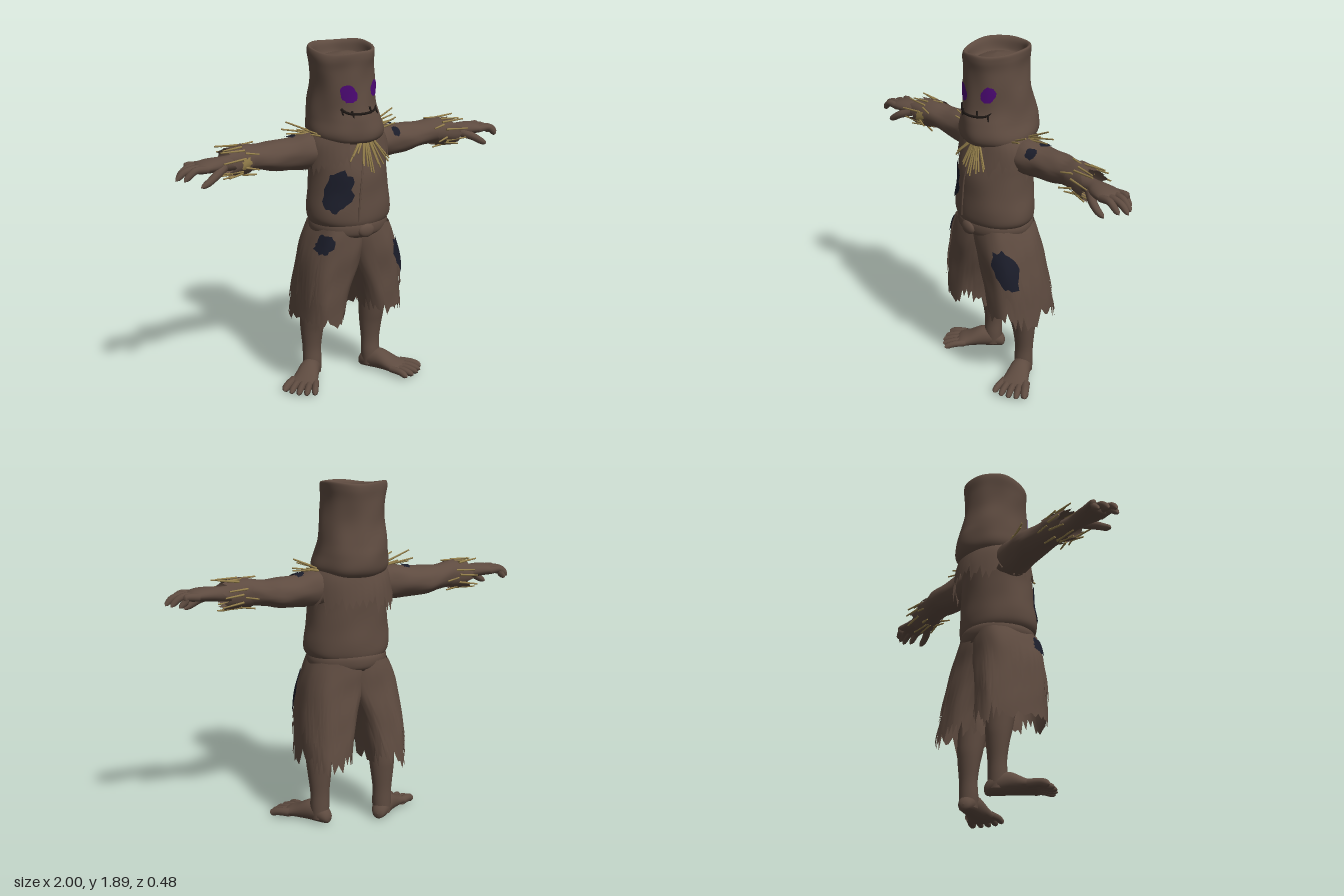
import * as THREE from 'three';
import { mergeGeometries } from 'three/addons/utils/BufferGeometryUtils.js';

const paint = (name, color, side = THREE.FrontSide) => {
  const m = new THREE.MeshStandardMaterial({ color, side });
  m.name = name;
  return m;
};
const V = (x, y, z) => new THREE.Vector3(x, y, z);
const rnd = (i, seed) => { const f = Math.sin(i * 12.9898 + seed * 78.233) * 43758.5453; return f - Math.floor(f); };
const TAU = Math.PI * 2;

// Smooth surface through sections [t, c1, c2, r1, r2] along the y or x axis; power < 1 makes them boxier
function surface(sections, { axis = 'y', fold = 0, power = 1, warp } = {}) {
  const last = sections.length - 1;
  const bend = (v) => Math.sign(v) * Math.abs(v) ** power;
  const point = (u, s, out = 0) => {
    const k = Math.min(Math.floor(Math.max(s, 0)), last - 1), f = Math.max(s, 0) - k;
    const row = (i) => sections[Math.max(0, Math.min(last, i))];
    const [t, c1, c2, r1, r2] = row(k).map((b, i) => {
      const a = row(k - 1)[i], c = row(k + 1)[i], d = row(k + 2)[i];
      return b + 0.5 * f * (c - a + f * (2 * a - 5 * b + 4 * c - d + f * (3 * (b - c) + d - a)));
    });
    const w = 1 + fold * (Math.sin(3 * u + 17 * t) + 0.7 * Math.sin(5 * u - 31 * t) + 0.5 * Math.sin(8 * u + 9 * t));
    const a = Math.max(0, r1) * w + out, b = Math.max(0, r2) * w + out, sn = bend(Math.sin(u)), cs = bend(Math.cos(u));
    const p = axis === 'y' ? V(c1 + a * sn, t, c2 + b * cs) : V(t, c1 + a * cs, c2 + b * sn);
    return warp ? warp(p) : p;
  };
  const at = (t) => {
    for (let k = 0; k < last; k++) {
      const a = sections[k][0], b = sections[k + 1][0];
      if ((t - a) * (t - b) <= 0) return k + (t - a) / (b - a);
    }
    return t < sections[0][0] ? 0 : last;
  };
  return { point, at, last };
}

// Grid of points fn(i, j); the columns join up when closed
function grid(fn, nu, nv, closed) {
  const cols = closed ? nu : nu + 1, pos = [], index = [];
  for (let j = 0; j <= nv; j++) for (let i = 0; i < cols; i++) pos.push(...fn(i, j).toArray());
  for (let j = 0; j < nv; j++) for (let i = 0; i < nu; i++) {
    const a = j * cols + i, b = j * cols + (i + 1) % cols;
    index.push(a, b, a + cols, b, b + cols, a + cols);
  }
  const g = new THREE.BufferGeometry();
  g.setAttribute('position', new THREE.Float32BufferAttribute(pos, 3));
  g.setIndex(index);
  g.computeVertexNormals();
  return g;
}

// Skin of a surface; lo(u, i) and hi(u, i) give torn edges as positions along the axis
function skin(S, { nu = 48, nv = 30, u0 = 0, u1 = TAU, lo, hi, out = 0 } = {}) {
  return grid((i, j) => {
    const u = u0 + (u1 - u0) * i / nu;
    const a = lo ? S.at(lo(u, i)) : 0, b = hi ? S.at(hi(u, i)) : S.last;
    return S.point(u, a + (b - a) * j / nv, out);
  }, nu, nv, u1 - u0 > TAU - 1e-6);
}

// Thin torn patch lying on a surface, optionally slanted
function patch(S, u, t, du, dt, out, seed, ragged = 0.3, slant = 0, n = 24) {
  return grid((i, j) => {
    const a = -TAU * i / n, r = (1 - ragged * rnd(i, seed)) * j / 5, h = r * Math.cos(a);
    return S.point(u + du * h, S.at(t + dt * r * Math.sin(a) + slant * h), out);
  }, n, 5, true);
}

// Tapering tube with a rounded tip
function taper(pts, r0, r1, n = 12, m = 10) {
  const curve = new THREE.CatmullRomCurve3(pts), g = new THREE.TubeGeometry(curve, n, 1, m), p = g.attributes.position;
  for (let i = 0; i <= n; i++) {
    const k = i / n, c = curve.getPointAt(k), cap = k > 0.75 ? Math.sqrt(Math.max(0, 1 - ((k - 0.75) * 4) ** 2)) : 1;
    for (let j = 0; j <= m; j++) {
      const id = i * (m + 1) + j, v = new THREE.Vector3().fromBufferAttribute(p, id);
      v.sub(c).multiplyScalar((r0 + (r1 - r0) * k) * cap).add(c);
      p.setXYZ(id, v.x, v.y, v.z);
    }
  }
  return g;
}

// Bundle of straws, make(i) returns the two ends of each
function straws(count, make) {
  return mergeGeometries(Array.from({ length: count }, (_, i) => {
    const [a, b] = make(i), d = b.clone().sub(a), g = new THREE.CylinderGeometry(0.004, 0.006, d.length(), 12);
    g.applyQuaternion(new THREE.Quaternion().setFromUnitVectors(V(0, 1, 0), d.normalize()));
    return g.translate(...a.clone().add(b).multiplyScalar(0.5).toArray());
  }));
}

export function createModel() {
  const cloth = paint('brown sackcloth', 0x5e4b40, THREE.DoubleSide);
  const navy = paint('navy cloth', 0x1b1d2a, THREE.DoubleSide);
  const straw = paint('straw', 0x927d4a, THREE.DoubleSide);
  const purple = paint('purple glow', 0x4c0874, THREE.DoubleSide);
  const dark = paint('dark stitching', 0x1d1714);
  const model = new THREE.Group();
  const add = (name, geometry, material, parent = model) => {
    const mesh = new THREE.Mesh(geometry, material);
    mesh.name = name;
    parent.add(mesh);
    return mesh;
  };

  // Sack head with an open, sunken top that tilts forward
  const head = surface([
    [1.375, 0, 0, 0.12, 0.13], [1.397, 0, 0, 0.18, 0.192], [1.44, -0.003, -0.008, 0.205, 0.216], [1.51, -0.01, -0.016, 0.192, 0.212],
    [1.58, -0.016, -0.018, 0.182, 0.196], [1.68, -0.018, -0.01, 0.173, 0.181], [1.78, -0.025, -0.01, 0.17, 0.178],
    [1.84, -0.025, -0.01, 0.176, 0.182], [1.87, -0.022, -0.01, 0.173, 0.179], [1.875, -0.022, -0.01, 0.162, 0.168], [1.86, -0.022, -0.01, 0.15, 0.155],
    [1.81, -0.022, -0.01, 0.132, 0.137], [1.835, -0.022, -0.01, 0.08, 0.08], [1.85, -0.022, -0.01, 0, 0],
  ], { fold: 0.013, warp: (p) => {
    p.y += (0.01 * Math.sin(14 * p.x + 9 * p.z) - 0.1 * p.z) * THREE.MathUtils.smoothstep(p.y, 1.7, 1.86);
    return p;
  } });
  add('sackHead', skin(head, { nu: 64, nv: 78 }), cloth);
  add('rightEye', patch(head, -0.37, 1.655, 0.27, 0.048, 0.004, 3, 0.15, -0.01), purple);
  add('leftEye', patch(head, 0.63, 1.67, 0.25, 0.043, 0.004, 5, 0.15, 0.014), purple);
  const onHead = (u, y, out) => head.point(u, head.at(y), out);
  add('mouth', taper(Array.from({ length: 11 }, (_, i) => {
    const k = i / 5 - 1;
    return onHead(0.06 + 0.66 * k, 1.553 + 0.025 * k ** 4, 0.001);
  }), 0.007, 0.006, 30, 12), dark);
  [-0.58, -0.3, 0.3, 0.62].forEach((u, i) =>
    add('mouthStitch', taper([onHead(u, 1.582 - 0.012 * (i % 2), 0.001), onHead(u + 0.03, 1.545 - 0.012 * (i % 2), 0.003)], 0.006, 0.004, 6, 12), dark));

  // Jacket body with a front seam and a torn hole
  const torso = surface([
    [0.93, 0, 0.02, 0.2, 0.175], [0.97, 0, 0.022, 0.233, 0.192], [1.03, 0, 0.022, 0.238, 0.195], [1.12, 0, 0.02, 0.226, 0.19],
    [1.22, 0, 0.018, 0.218, 0.188], [1.3, 0, 0.01, 0.218, 0.178], [1.38, 0, 0, 0.205, 0.165], [1.44, 0, 0, 0.15, 0.14], [1.47, 0, 0, 0.1, 0.1],
  ], { fold: 0.007 });
  add('jacket', skin(torso, { nu: 56, nv: 40 }), cloth);
  add('jacketSeam', taper([0.98, 1.08, 1.18, 1.28, 1.36].map((y, i) => torso.point(-0.2 + 0.03 * i * i / 2, torso.at(y), 0)), 0.006, 0.005, 20, 12), cloth);
  add('chestTear', patch(torso, -0.74, 1.14, 0.44, 0.135, 0.006, 11, 0.3, 0.02), navy);

  // Torn cape over the shoulders, open at the throat
  const cape = surface([[1.17, 0, -0.008, 0.245, 0.226], [1.3, 0, -0.01, 0.24, 0.21], [1.39, 0, -0.008, 0.226, 0.192], [1.46, 0, 0, 0.18, 0.175]], { fold: 0.006 });
  add('cape', skin(cape, { nu: 72, nv: 12, u0: 0.42, u1: TAU - 0.36, lo: (u, i) => 1.25 + 0.02 * Math.cos(u) + 0.04 * (i % 2) + 0.07 * (rnd(i >> 1, 7) - 0.5) }), cloth);

  // Belt and knot
  const belt = surface([[0.88, 0, 0.018, 0.195, 0.17], [0.9, 0, 0.018, 0.215, 0.188], [0.93, 0, 0.018, 0.222, 0.194], [0.96, 0, 0.018, 0.214, 0.19], [0.985, 0, 0.018, 0.19, 0.17]], { fold: 0.007 });
  add('belt', skin(belt, { nv: 16 }), cloth);
  const knot = add('beltKnot', new THREE.SphereGeometry(0.045, 16, 12), cloth);
  knot.position.set(0, 0.922, 0.206);
  knot.scale.set(1.1, 0.85, 0.5);

  for (const s of [1, -1]) {
    const side = s > 0 ? 'left' : 'right', seed = s + 4;
    // Wide torn trouser leg, overlapping the other at the hips and drawn together at the back, with a shorter outer layer
    const leg = surface([
      [0.3, s * 0.188, -0.03, 0.12, 0.208], [0.42, s * 0.183, -0.026, 0.118, 0.202], [0.58, s * 0.16, -0.01, 0.128, 0.191],
      [0.75, s * 0.117, 0.007, 0.146, 0.18], [0.86, s * 0.088, 0.012, 0.142, 0.174], [0.93, s * 0.075, 0.015, 0.125, 0.165],
    ], { fold: 0.012, power: 0.7, warp: (p) => {
      p.x -= s * 0.04 * THREE.MathUtils.smoothstep(-p.z, 0.02, 0.2) * THREE.MathUtils.smoothstep(s * 0.3 - s * p.x * s, -0.3, 0.3);
      return p;
    } });
    const torn = (base, deep) => (u, i) => base + 0.02 * Math.cos(u) + deep * (i % 2 ? 0.2 : 0.9) * rnd(i, seed) + 0.07 * rnd(i >> 2, seed + 1);
    add(side + 'TrouserLeg', skin(leg, { nu: 60, nv: 24, lo: torn(0.345, 0.11) }), cloth);
    add(side + 'TatteredLayer', skin(leg, { nu: 44, nv: 14, u0: s > 0 ? 0.5 : 2.9, u1: s > 0 ? 3.4 : 5.8, lo: torn(0.47, 0.15), out: 0.008 }), cloth);
    if (s > 0) add('thighTear', patch(leg, 0.82, 0.725, 0.56, 0.128, 0.014, 21, 0.28, -0.03), navy);
    else add('hipTear', patch(leg, -0.92, 0.85, 0.5, 0.06, 0.014, 23, 0.3), navy);

    // Shin and bare foot; the right one stands further back
    const dz = s > 0 ? 0 : -0.065, x = s > 0 ? 0.185 : 0.163;
    const shin = surface([[0.03, 0, 0, 0.05, 0.05], [0.1, 0, 0, 0.054, 0.05], [0.18, 0, -0.003, 0.054, 0.047], [0.28, 0, 0, 0.065, 0.058], [0.36, 0, 0.008, 0.072, 0.07], [0.52, 0, 0.03, 0.08, 0.08]]);
    add(side + 'Shin', skin(shin, { nu: 24, nv: 20 }), cloth).position.set(s * x, 0, -0.033 + dz);
    const foot = new THREE.Group();
    foot.name = side + 'Foot';
    foot.position.set(s * x, 0, -0.033 + dz);
    foot.rotation.y = s > 0 ? Math.atan2(-0.22, 0.14) : Math.atan2(-0.19, -0.19);
    model.add(foot);
    const sole = surface([[-0.07, 0.038, 0, 0, 0], [-0.06, 0.038, 0, 0.03, 0.03], [-0.02, 0.055, 0, 0.052, 0.048], [0.06, 0.062, 0, 0.059, 0.057],
      [0.14, 0.043, 0, 0.04, 0.07], [0.2, 0.03, 0, 0.027, 0.08], [0.23, 0.025, 0, 0, 0.035]], { axis: 'x' });
    add('footBody', skin(sole, { nu: 24, nv: 24 }), cloth, foot);
    for (let i = 0; i < 5; i++) {
      const z = (i - 2) * 0.034, end = 0.3 - 0.006 * Math.abs(i - 1.8) ** 2, big = i === (s > 0 ? 0 : 4) ? 1.25 : 1;
      add('toe', taper([V(0.16, 0.038, z * 0.9), V(0.23, 0.034, z * 1.15), V(end, 0.017, z * 1.3)], 0.02 * big, 0.017 * big), cloth, foot);
    }

    // Sleeve, torn cuff, straw and hand, mirrored for the right arm
    const arm = new THREE.Group();
    arm.name = side + 'Arm';
    arm.scale.x = s;
    model.add(arm);
    const sleeve = surface([[0.1, 1.335, -0.02, 0.085, 0.1], [0.22, 1.335, -0.03, 0.096, 0.1], [0.32, 1.328, -0.05, 0.084, 0.095], [0.42, 1.328, -0.06, 0.079, 0.096],
      [0.5, 1.335, -0.05, 0.067, 0.085], [0.58, 1.343, -0.035, 0.07, 0.08], [0.66, 1.337, -0.022, 0.077, 0.083], [0.73, 1.333, -0.015, 0.08, 0.085]], { axis: 'x', fold: 0.018 });
    add('sleeve', skin(sleeve, { nu: 36, nv: 40, hi: (u, i) => 0.665 + 0.05 * rnd(i, seed) + 0.015 * (i % 2) }), cloth, arm);
    add('cuff', skin(sleeve, { nu: 36, nv: 6, lo: (u, i) => 0.565 + 0.02 * rnd(i, 2), hi: (u, i) => 0.6 + 0.04 * rnd(i, 9), out: 0.007 }), cloth, arm);
    add('shoulderTear', patch(sleeve, -0.15, 0.305, 0.4, 0.03, 0.008, 31), navy, arm);
    if (s > 0) add('sleeveTear', patch(sleeve, 0.85, 0.3, 0.38, 0.036, 0.008, 33), navy, arm);
    else add('strawStuffing', patch(sleeve, 1.6, 0.62, 0.45, 0.045, 0.009, 35, 0.5), straw, arm);
    add('cuffStraw', straws(18, (i) => {
      const u = i * 2.4, a = 0.6 + 0.04 * rnd(i, 1), l = i % 3 ? 0.08 + 0.06 * rnd(i, 2) : -0.07, h = sleeve.at(a);
      const p = sleeve.point(u, h, 0.004), q = sleeve.point(u + 0.5 * (rnd(i, 3) - 0.5), h, 0.006 + 0.022 * rnd(i, 4));
      return [p, q.setX(a + l)];
    }), straw, arm);
    const palm = surface([[0.62, 1.338, -0.015, 0.045, 0.048], [0.71, 1.338, -0.008, 0.039, 0.045], [0.77, 1.342, 0.003, 0.037, 0.06],
      [0.83, 1.343, 0.008, 0.033, 0.07], [0.88, 1.338, 0.008, 0.024, 0.066], [0.895, 1.335, 0.008, 0, 0.04]], { axis: 'x' });
    add('palm', skin(palm, { nu: 24, nv: 20 }), cloth, arm);
    [[-0.045, 0.945], [-0.01, 0.98], [0.026, 1], [0.058, 0.97]].forEach(([z, end]) =>
      add('finger', taper([V(0.84, 1.34, z), V(0.91, 1.343, z * 1.1), V(0.96 * end, 1.33, z * 1.1), V(end, 1.293, z)], 0.021, 0.016), cloth, arm));
    add('thumb', taper([V(0.74, 1.33, 0.03), V(0.8, 1.305, 0.07), V(0.85, 1.275, 0.08), V(0.89, 1.255, 0.078)], 0.026, 0.016), cloth, arm);
    add('shoulderStraw', straws(7, (i) => {
      const z = -0.06 + 0.14 * rnd(i, 5);
      return [V(0.16, 1.42, z), V(0.26 + 0.09 * rnd(i, 6), 1.435 + 0.065 * rnd(i, 8), z * 1.5)];
    }), straw, arm);
  }

  // Straw spilling out at the throat
  add('throatStraw', straws(13, (i) => {
    const k = (i + rnd(i, 12)) / 13 - 0.5;
    return [V(0.02 + 0.1 * k, 1.4, 0.175), V(0.025 + 0.27 * k, 1.22 + 0.09 * rnd(i, 13) + 0.14 * Math.abs(k), 0.225 - 0.04 * Math.abs(k))];
  }), straw);
  return model;
}
